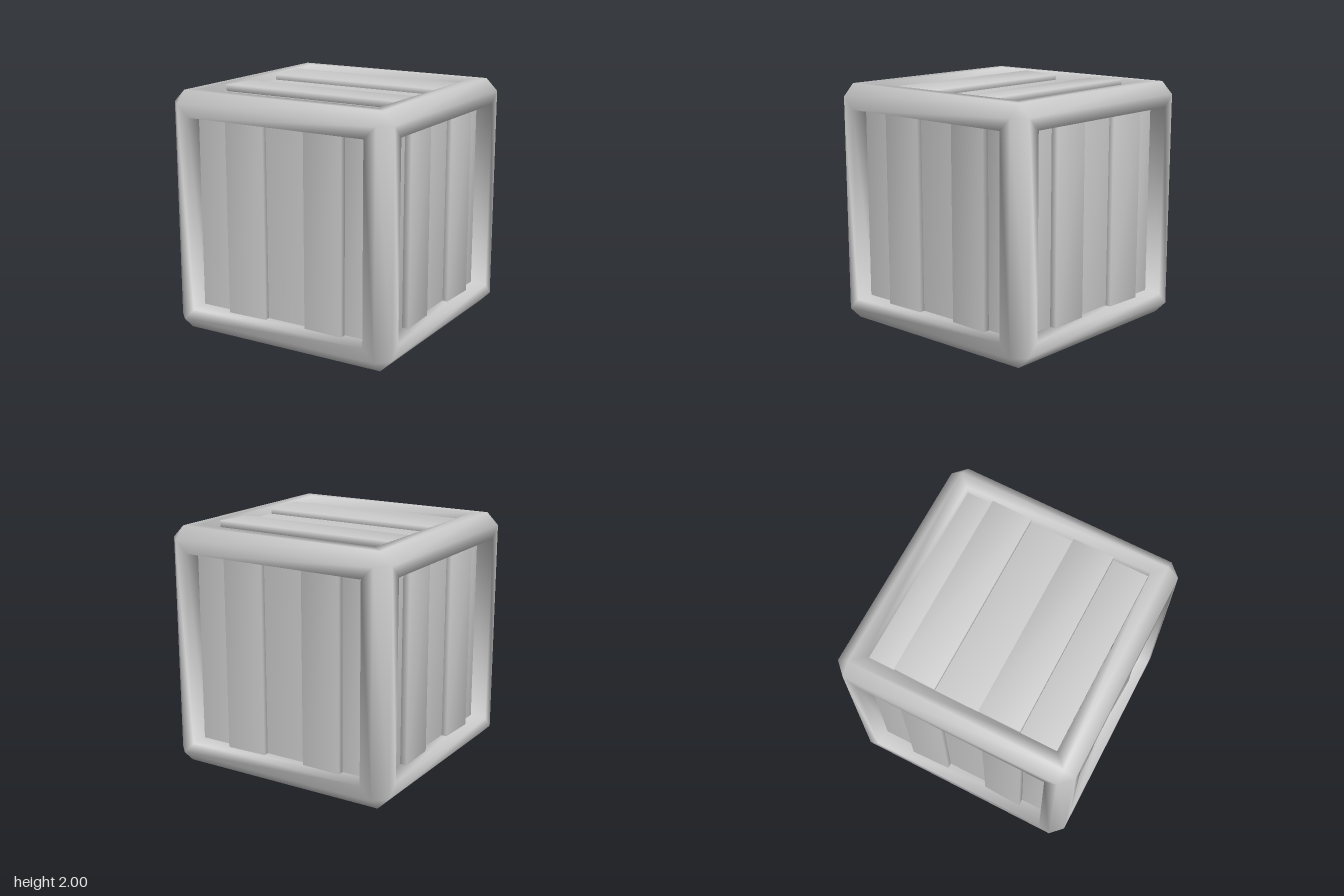
import * as THREE from 'three';
import { mergeVertices } from 'three/addons/utils/BufferGeometryUtils.js';

const V = (x, y, z) => new THREE.Vector3(x, y, z);
const material = new THREE.MeshStandardMaterial({ color: 0xcccccc });

// Each side of the crate: u runs across the boards, n points outward,
// lift raises the boards of the top and bottom closer to the rim.
const sides = [
  ['front', V(1, 0, 0), V(0, 0, 1), 0],
  ['left', V(0, 0, -1), V(1, 0, 0), 0],
  ['back', V(-1, 0, 0), V(0, 0, -1), 0],
  ['right', V(0, 0, 1), V(-1, 0, 0), 0],
  ['top', V(0, 0, -1), V(0, 1, 0), 0.075],
  ['bottom', V(0, 0, 1), V(0, -1, 0), 0.075],
].map(([name, u, n, lift]) => ({
  name,
  lift,
  matrix: new THREE.Matrix4().makeBasis(u, n.clone().cross(u), n),
}));

// Welded smooth normals
function smooth(geometry) {
  geometry.deleteAttribute('uv');
  geometry.deleteAttribute('normal');
  const welded = mergeVertices(geometry, 1e-4);
  welded.computeVertexNormals();
  return welded;
}

// Chamfered cube with a recessed opening in every side
function frameGeometry() {
  const points = [];
  const tri = (a, b, c) => points.push(a, b, c);
  const quad = (a, b, c, d) => { tri(a, b, c); tri(a, c, d); };
  const facesOut = (a, b, c) =>
    b.clone().sub(a).cross(c.clone().sub(a)).dot(a.clone().add(b).add(c)) > 0;

  // Face border and inner wall, as rings of half-width and depth
  const rings = [[0.9, 1], [0.8, 1], [0.787, 0.84]];
  const corners = [[-1, -1], [1, -1], [1, 1], [-1, 1]];
  for (const { matrix } of sides) {
    const at = (ring, k) => V(corners[k % 4][0] * ring[0], corners[k % 4][1] * ring[0], ring[1]).applyMatrix4(matrix);
    for (let r = 0; r < 2; r++) {
      for (let k = 0; k < 4; k++) {
        quad(at(rings[r], k), at(rings[r], k + 1), at(rings[r + 1], k + 1), at(rings[r + 1], k));
      }
    }
  }

  // Edge chamfers
  for (let axis = 0; axis < 3; axis++) {
    for (const [s, t] of corners) {
      const at = (along, p, q) => {
        const v = V(0, 0, 0);
        v.setComponent(axis, along);
        v.setComponent((axis + 1) % 3, s * p);
        v.setComponent((axis + 2) % 3, t * q);
        return v;
      };
      const q = [at(-0.9, 1, 0.9), at(0.9, 1, 0.9), at(0.9, 0.9, 1), at(-0.9, 0.9, 1)];
      if (!facesOut(q[0], q[1], q[2])) q.reverse();
      quad(...q);
    }
  }

  // Corner triangles
  for (const z of [-1, 1]) {
    for (const [x, y] of corners) {
      const t = [V(x, y * 0.9, z * 0.9), V(x * 0.9, y, z * 0.9), V(x * 0.9, y * 0.9, z)];
      if (!facesOut(...t)) t.reverse();
      tri(...t);
    }
  }
  return smooth(new THREE.BufferGeometry().setFromPoints(points));
}

// Board spanning u from a to b, with its outer surface at depths za and zb
function boardGeometry(a, b, za, zb, thickness) {
  const g = new THREE.BoxGeometry(b - a, 1.58, thickness);
  const p = g.attributes.position;
  for (let i = 0; i < p.count; i++) {
    const surface = p.getX(i) < 0 ? za : zb;
    p.setZ(i, surface - (p.getZ(i) < 0 ? thickness : 0));
    p.setX(i, p.getX(i) + (a + b) / 2);
  }
  return smooth(g);
}

export function createModel() {
  const group = new THREE.Group();
  group.name = 'crate';

  const frame = new THREE.Mesh(frameGeometry(), material);
  frame.name = 'frame';
  frame.position.y = 1;
  group.add(frame);

  // Alternating recessed and raised boards: start, end, depth at each edge, thickness
  const boards = [
    [-0.79, -0.49, 0.865, 0.865, 0.04],
    [-0.49, -0.145, 0.922, 0.91, 0.07],
    [-0.145, 0.225, 0.865, 0.865, 0.04],
    [0.225, 0.565, 0.91, 0.922, 0.07],
    [0.565, 0.79, 0.865, 0.865, 0.04],
  ].map((b) => boardGeometry(...b));

  for (const { name, matrix, lift } of sides) {
    const panel = new THREE.Group();
    panel.name = name + 'Panel';
    panel.applyMatrix4(matrix);
    panel.position.y = 1;
    boards.forEach((geometry, i) => {
      const board = new THREE.Mesh(geometry, material);
      board.name = 'board' + (i + 1);
      board.position.z = lift;
      panel.add(board);
    });
    group.add(panel);
  }
  return group;
}
